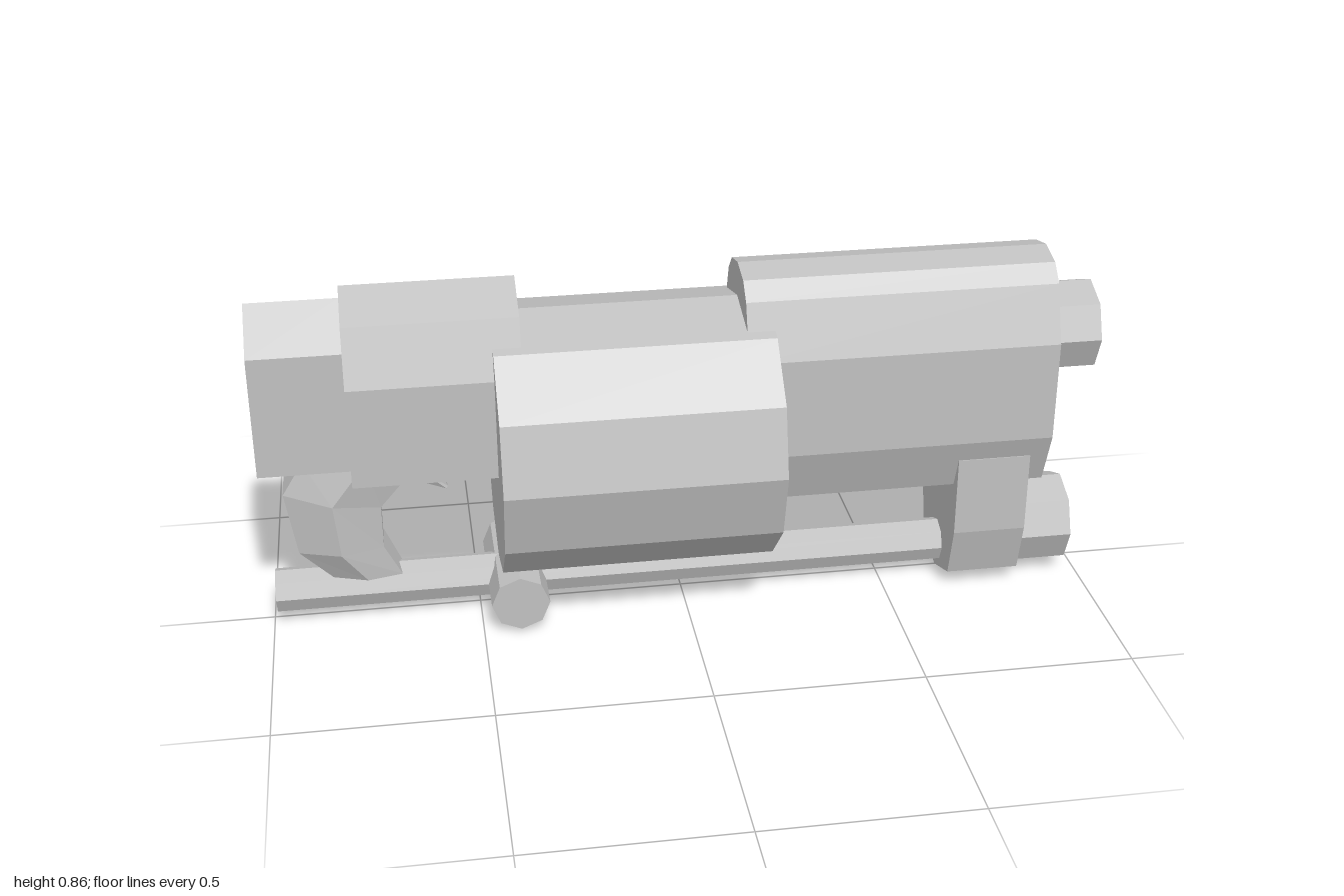
import * as THREE from 'three';

const metal = new THREE.MeshStandardMaterial({ color: 0xc0c0c0 });
metal.name = 'grey metal';

// Mirror a half profile of [z, y] points, listed top to bottom
function mirrored(half) {
  const other = half.filter(p => p[0] > 0).reverse().map(([z, y]) => [-z, y]);
  return [...half, ...other];
}

// Regular polygon with a corner at the top
function polygon(sides, radius, cy) {
  return Array.from({ length: sides }, (_, i) => {
    const a = (i / sides) * Math.PI * 2;
    return [Math.sin(a) * radius, cy + Math.cos(a) * radius];
  });
}

// Prism running along x from x0 to x1
function prismX(profile, x0, x1) {
  const shape = new THREE.Shape(profile.map(([z, y]) => new THREE.Vector2(z, y)));
  return new THREE.ExtrudeGeometry(shape, { depth: x1 - x0, bevelEnabled: false })
    .rotateY(Math.PI / 2)
    .translate(x0, 0, 0);
}

// Six-sided faceted loft; each section is [rear x, rear y, front x, front y, half width]
function loft(sections) {
  const pos = [], index = [], n = 6;
  for (const [ox, oy, ix, iy, w] of sections) {
    const mx = (ox + ix) / 2, my = (oy + iy) / 2, e = w * 0.6;
    pos.push(ox, oy, e, mx, my, w, ix, iy, e, ix, iy, -e, mx, my, -w, ox, oy, -e);
  }
  for (let s = 0; s < sections.length - 1; s++) {
    for (let k = 0; k < n; k++) {
      const a = s * n + k, b = s * n + (k + 1) % n;
      index.push(a, a + n, b + n, a, b + n, b);
    }
  }
  const last = (sections.length - 1) * n;
  for (let j = 1; j < n - 1; j++) {
    index.push(0, j, j + 1, last, last + j + 1, last + j);
  }
  const geo = new THREE.BufferGeometry();
  geo.setAttribute('position', new THREE.Float32BufferAttribute(pos, 3));
  geo.setIndex(index);
  const flat = geo.toNonIndexed();
  flat.computeVertexNormals();
  return flat;
}

export function createModel() {
  const model = new THREE.Group();
  const add = (name, geometry) => {
    const mesh = new THREE.Mesh(geometry, metal);
    mesh.name = name;
    model.add(mesh);
  };

  // Main body, lined up along x
  add('drum', prismX(polygon(12, 0.325, 0.452), -0.45, 0.2));
  add('barrelHousing', prismX(mirrored([
    [0, 0.86], [0.073, 0.843], [0.113, 0.804], [0.163, 0.67],
    [0.163, 0.425], [0.113, 0.29], [0, 0.25],
  ]), 0.135, 0.88));
  add('rearBlock', prismX(mirrored([
    [0, 0.86], [0.115, 0.805], [0.163, 0.67], [0.163, 0.425],
  ]), -0.785, -0.385));
  add('rearCap', prismX(mirrored([
    [0, 0.83], [0.107, 0.737], [0.107, 0.44],
  ]), -1, -0.785));
  add('muzzle', prismX(polygon(8, 0.112, 0.65), 0.88, 1));

  // Lower assembly
  add('bracket', prismX(mirrored([
    [0.145, 0.37], [0.145, 0.17], [0.113, 0.042], [0, 0],
  ]), 0.657, 0.835));
  add('lowerMuzzle', prismX(polygon(8, 0.112, 0.121), 0.835, 0.97));
  add('rod', prismX(polygon(8, 0.054, 0.076), -0.99, 0.66));
  add('crossHandle', prismX(polygon(8, 0.07, 0.077), -0.158, 0.158)
    .rotateY(Math.PI / 2).translate(-0.41, 0, 0));

  // Curved grip and the small spike in front of it
  add('grip', loft([
    [-0.90, 0.44, -0.61, 0.44, 0.08],
    [-0.95, 0.36, -0.725, 0.31, 0.085],
    [-0.925, 0.2, -0.725, 0.2, 0.08],
    [-0.85, 0.12, -0.685, 0.115, 0.06],
  ]));
  add('trigger', loft([
    [-0.68, 0.38, -0.6, 0.44, 0.05],
    [-0.57, 0.335, -0.565, 0.337, 0.03],
  ]));

  return model;
}
